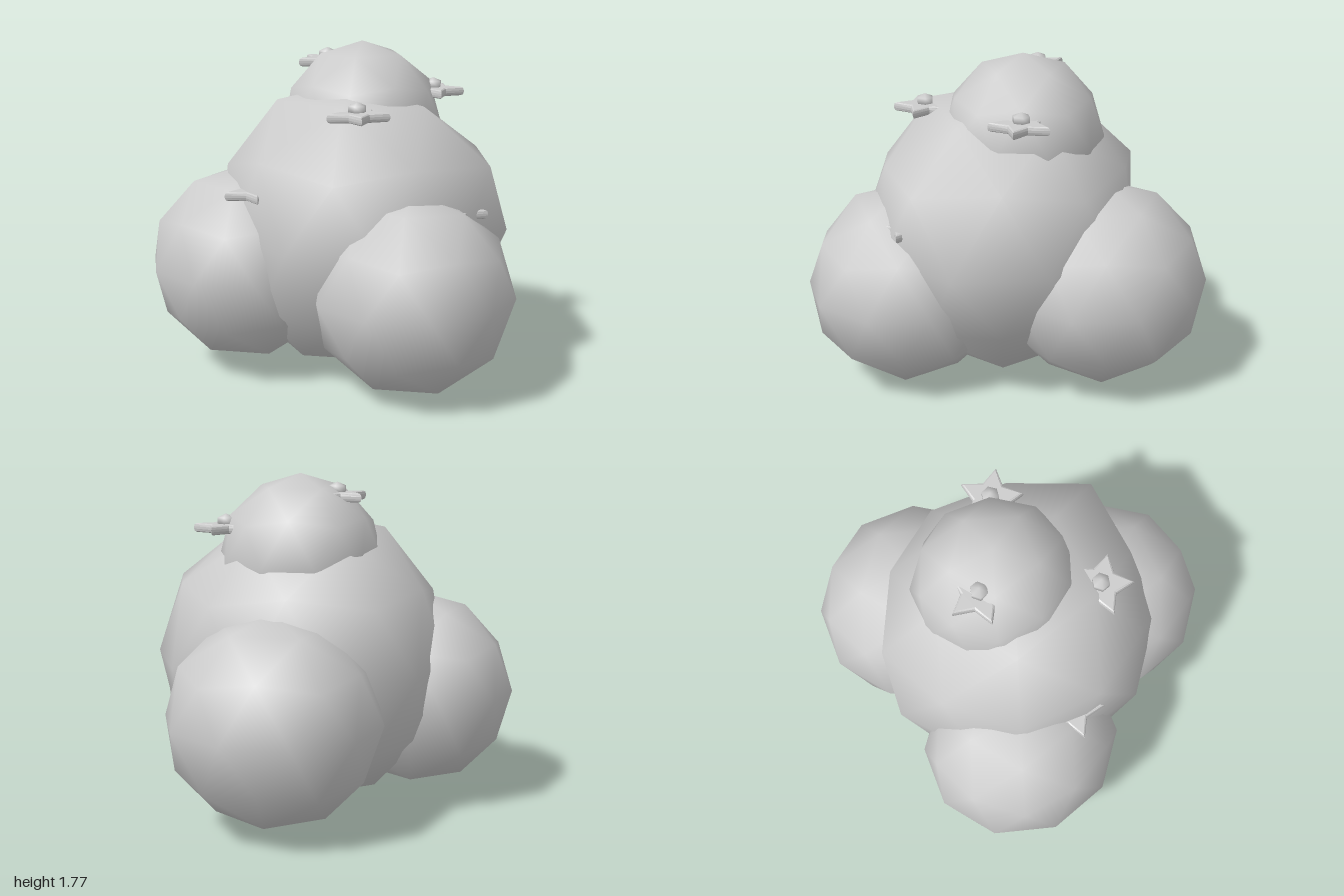
import * as THREE from 'three';
import { mergeVertices } from 'three/addons/utils/BufferGeometryUtils.js';

const stone = new THREE.MeshStandardMaterial({ color: 0xcccccc });
stone.name = 'pale grey';

// Low-poly smooth ball with a vertex at each pole.
// Each push is [x, y, z, amount]: it swells or dents the ball in that direction.
function lobe(name, center, radii, pushes = []) {
  const ico = new THREE.IcosahedronGeometry(1, 1);
  ico.rotateX(-Math.atan((1 + Math.sqrt(5)) / 2)).rotateY(Math.PI / 2);
  ico.deleteAttribute('uv');
  ico.deleteAttribute('normal');
  const geo = mergeVertices(ico);
  const p = geo.attributes.position;
  const v = new THREE.Vector3(), dir = new THREE.Vector3(), size = new THREE.Vector3(...radii);
  for (let i = 0; i < p.count; i++) {
    v.fromBufferAttribute(p, i);
    let swell = 0;
    for (const [x, y, z, amount] of pushes) {
      dir.set(x, y, z).normalize();
      swell += amount * Math.max(0, (v.dot(dir) - 0.85) / 0.15);
    }
    const moved = v.clone().multiply(size).addScaledVector(v, swell);
    p.setXYZ(i, moved.x, moved.y, moved.z);
  }
  geo.computeVertexNormals();
  const mesh = new THREE.Mesh(geo, stone);
  mesh.name = name;
  mesh.position.set(...center);
  return mesh;
}

// Five-pointed petal plate, lying flat with one point toward the back
function petalGeometry() {
  const shape = new THREE.Shape();
  for (let i = 0; i < 10; i++) {
    const r = i % 2 ? 0.078 : 0.152;
    const a = Math.PI / 2 + (i * Math.PI) / 5;
    const x = r * Math.cos(a), y = r * Math.sin(a);
    if (i) shape.lineTo(x, y); else shape.moveTo(x, y);
  }
  shape.closePath();
  const geo = new THREE.ExtrudeGeometry(shape, {
    depth: 0.012, bevelEnabled: true, bevelThickness: 0.017, bevelSize: 0.012, bevelSegments: 2,
  });
  return geo.translate(0, 0, -0.006).rotateX(-Math.PI / 2);
}

export function createModel() {
  const model = new THREE.Group();
  model.name = 'flowerBush';

  // Rounded foliage masses
  model.add(
    lobe('body', [-0.03, 0.79, -0.1], [0.77, 0.785, 0.79], [
      [0.588, 0, 0.809, 0.04], [0.588, 0, -0.809, -0.09], [0.951, 0, -0.309, -0.06],
      [0.276, 0.447, 0.85, 0.09], [0.276, 0.447, -0.85, 0.03],
      [-0.85, 0.526, 0, 0.03], [0.85, -0.526, 0, -0.1],
      [-0.425, 0.85, 0.31, 0.04], [-0.425, 0.85, -0.31, 0.03],
      [-0.951, 0, -0.309, -0.04], [-0.588, 0, -0.809, -0.03],
    ]),
    lobe('crown', [0.06, 1.33, -0.145], [0.43, 0.45, 0.44]),
    lobe('frontLobe', [-0.165, 0.54, 0.45], [0.53, 0.53, 0.545], [[-0.425, 0.85, 0, 0.04]]),
    lobe('backRightLobe', [-0.515, 0.6, -0.46], [0.51, 0.53, 0.54]),
    lobe('backLeftLobe', [0.48, 0.58, -0.38], [0.545, 0.55, 0.57]),
  );

  // Star flowers, partly sunk in the foliage: position and turn
  const petals = petalGeometry();
  const button = new THREE.SphereGeometry(0.053, 6, 3).rotateY(Math.PI / 6).scale(1, 0.75, 1);
  const spots = [
    [-0.33, 1.455, 0.22, 0],
    [0.37, 1.5, 0.09, 0.08],
    [-0.04, 1.665, -0.315, 0],
    [-0.64, 1.035, -0.22, 0],
    [0.04, 0.95, 0.56, 0],
  ];
  spots.forEach(([x, y, z, turn], i) => {
    const flower = new THREE.Group();
    flower.name = 'flower' + (i + 1);
    const star = new THREE.Mesh(petals, stone);
    star.name = 'petals';
    const middle = new THREE.Mesh(button, stone);
    middle.name = 'flowerCentre';
    middle.position.y = 0.035;
    flower.add(star, middle);
    flower.position.set(x, y, z);
    flower.rotation.y = turn;
    model.add(flower);
  });
  return model;
}
